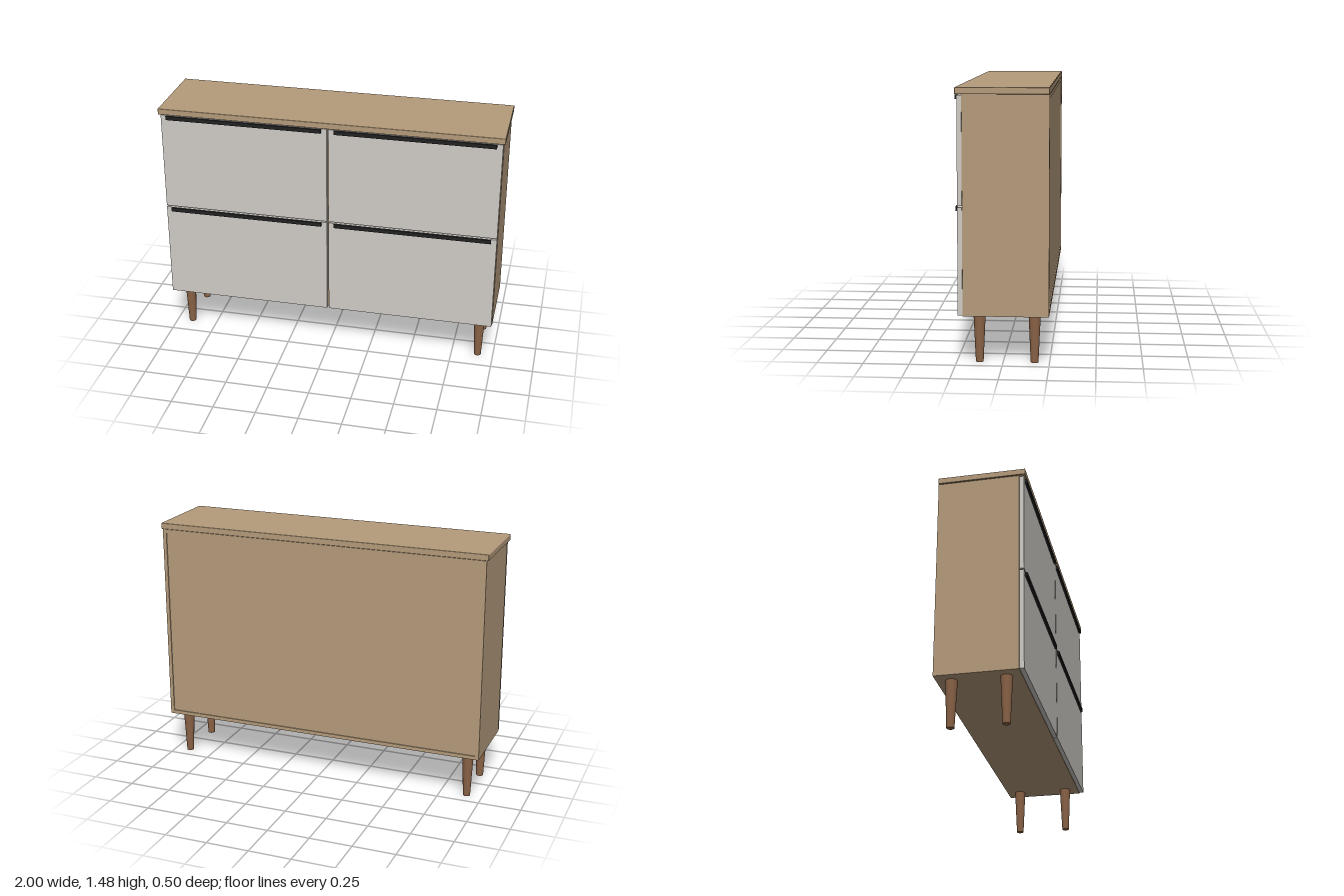
import * as THREE from 'three';
import { RoundedBoxGeometry } from 'three/addons/geometries/RoundedBoxGeometry.js';

export function createModel() {
  const model = new THREE.Group();
  model.name = 'sideboard';
  const wood = new THREE.MeshStandardMaterial({ color: 0xb59b7b });
  const paint = new THREE.MeshStandardMaterial({ color: 0xcfcbc5 });
  const dark = new THREE.MeshStandardMaterial({ color: 0x222222 });
  const legWood = new THREE.MeshStandardMaterial({ color: 0x8b6347 });

  const add = (name, geometry, material, x, y, z) => {
    const mesh = new THREE.Mesh(geometry, material);
    mesh.name = name;
    mesh.position.set(x, y, z);
    model.add(mesh);
    return mesh;
  };
  // Box given by its lower and upper corners
  const board = (name, material, [x0, y0, z0], [x1, y1, z1]) =>
    add(name, new THREE.BoxGeometry(x1 - x0, y1 - y0, z1 - z0), material,
      (x0 + x1) / 2, (y0 + y1) / 2, (z0 + z1) / 2);

  const W = 0.99, bottom = 0.267, top = 1.447, back = -0.249, front = 0.211, t = 0.022;

  // Table top with slightly softened edges
  add('top', new RoundedBoxGeometry(2, 0.036, 0.496, 2, 0.004), wood, 0, top + 0.018, -0.001);

  // Carcass boards, with the back panel set in slightly
  for (const s of [-1, 1]) {
    const inner = s * (W - t), outer = s * W;
    board(s > 0 ? 'leftSide' : 'rightSide', wood,
      [Math.min(inner, outer), bottom, back], [Math.max(inner, outer), top, front]);
  }
  board('floor', wood, [-W + t, bottom, back], [W - t, bottom + t, front]);
  board('upperRail', wood, [-W + t, top - t, back], [W - t, top, front]);
  board('backPanel', wood, [-W + t, bottom + t, back + 0.006], [W - t, top - t, back + 0.016]);
  board('divider', wood, [-t / 2, bottom + t, back + 0.016], [t / 2, top - t, front]);
  for (const s of [-1, 1]) {
    const x = s * (W - t / 2) / 2, half = (W - 1.5 * t) / 2;
    board('shelf', wood, [x - half, 0.855 - t / 2, back + 0.016], [x + half, 0.855 + t / 2, front]);
  }

  // Four flap fronts, each with a long dark grip along its upper edge
  for (const s of [-1, 1]) {
    for (const [y0, y1] of [[0.27, 0.851], [0.859, 1.442]]) {
      const x = s * 0.496;
      board('flapFront', paint, [x - 0.491, y0, front + 0.001], [x + 0.491, y1, 0.237]);
      board('handle', dark, [x - 0.458, y1 - 0.024, 0.236], [x + 0.458, y1 - 0.001, 0.25]);
    }
  }

  // Tapered round legs
  const leg = new THREE.CylinderGeometry(0.033, 0.021, bottom, 24);
  for (const x of [-0.907, 0.907])
    for (const z of [0.128, -0.169]) add('leg', leg, legWood, x, bottom / 2, z);

  return model;
}
